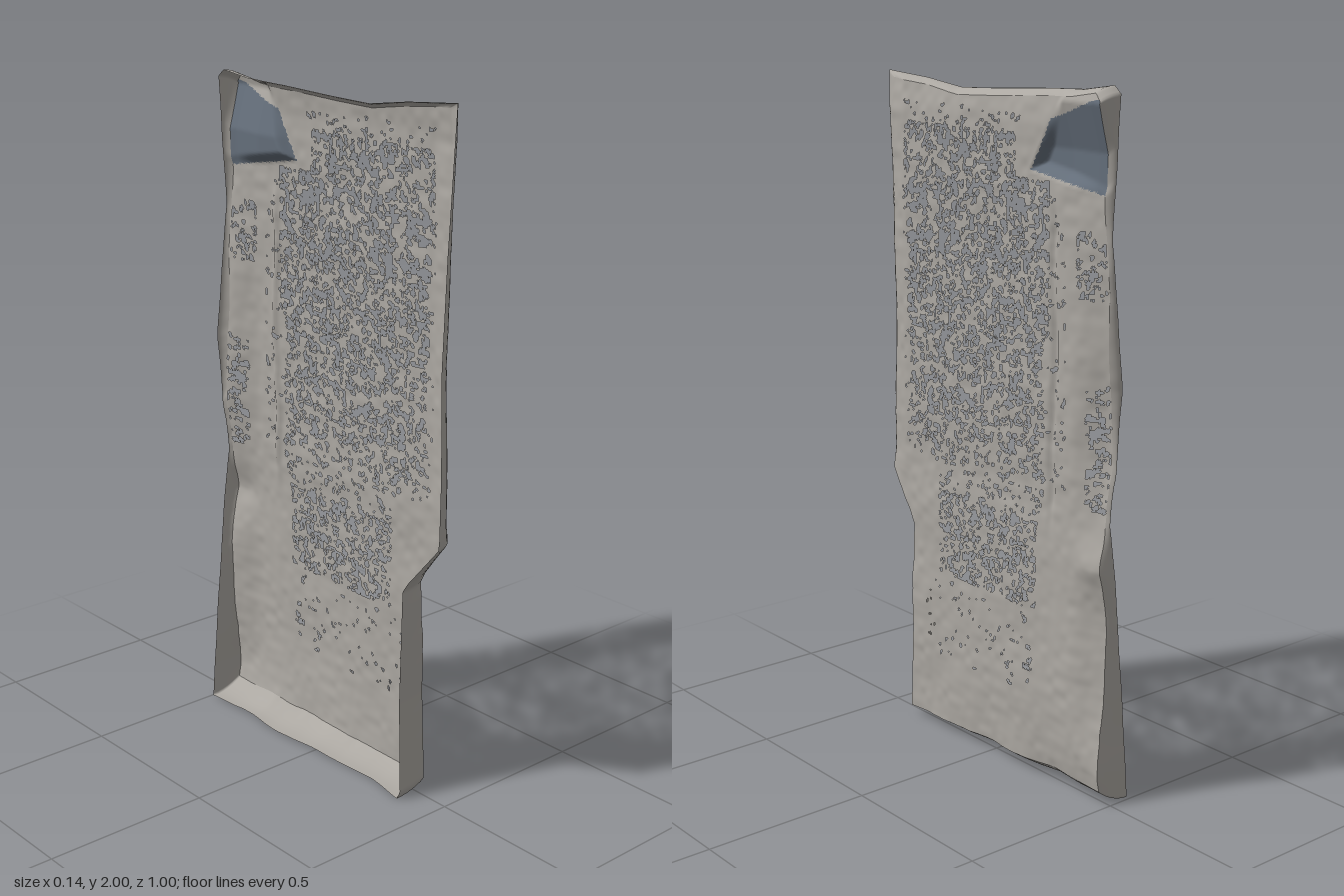
import * as THREE from 'three';

const { lerp, clamp, smoothstep } = THREE.MathUtils;

// Piecewise linear curve through [position, value] pairs
function curve(points, t) {
  if (t <= points[0][0]) return points[0][1];
  for (let i = 1; i < points.length; i++) {
    const [a, va] = points[i - 1], [b, vb] = points[i];
    if (t <= b) return lerp(va, vb, (t - a) / (b - a));
  }
  return points[points.length - 1][1];
}

// Smooth value noise, 0..1
function hash(i, j) {
  let h = Math.imul(i, 374761393) + Math.imul(j, 668265263);
  h = Math.imul(h ^ (h >>> 13), 1274126177);
  return ((h ^ (h >>> 16)) >>> 0) / 4294967296;
}
function noise(x, y) {
  const i = Math.floor(x), j = Math.floor(y);
  const a = smoothstep(x - i, 0, 1), b = smoothstep(y - j, 0, 1);
  return lerp(lerp(hash(i, j), hash(i + 1, j), a), lerp(hash(i, j + 1), hash(i + 1, j + 1), a), b);
}

// Slab outline: notched +z edge, straight -z edge, wavy top
const FRONT_EDGE = [[0, 0.375], [0.03, 0.388], [0.3, 0.37], [0.64, 0.365], [0.67, 0.385],
  [0.8, 0.497], [0.83, 0.499], [1, 0.495], [1.3, 0.478], [1.6, 0.48], [2, 0.49]];
const TOP_EDGE = [[-0.5, 1.975], [-0.47, 2], [-0.36, 1.985], [-0.2, 1.98], [0, 1.97], [0.15, 1.965], [0.3, 1.985], [0.49, 2]];
const BACK_WAVE = [[-0.5, 0], [-0.36, 0.012], [-0.16, 0], [0, 0.008], [0.25, 0.018], [0.37, 0]];
// How far the face sits inside the outline along the +z edge
const BEVEL = [[0, 0.012], [0.6, 0.015], [0.85, 0.05], [1.4, 0.045], [2, 0.045]];
// Wear along the -z edge by height: face worn back, and rim broken short
const FACE_WEAR = [[0.1, 0], [0.22, 0.015], [0.35, 0.03], [0.52, 0.032], [0.7, 0.008], [0.85, 0.022], [1, 0.04],
  [1.14, 0.045], [1.3, 0.036], [1.5, 0.018], [1.7, 0.006], [2, 0]];
const RIM_WEAR = [[0, 0], [0.33, 0.015], [0.67, 0.04], [0.83, 0.055], [1, 0.03], [1.2, 0.005], [1.4, 0.018],
  [1.6, 0.036], [1.8, 0.015], [2, 0]];

// Point (z, y) at grid position u, v; inset 0 = outline, 1 = edge of the face
function place(u, v, inset) {
  const zGuess = lerp(-0.495, 0.48, u);
  const bottom = 0.004 + 0.008 * noise(u * 9, 3) + inset * (0.022 + 0.025 * noise(u * 6, 8));
  const y = lerp(bottom, curve(TOP_EDGE, zGuess) - inset * 0.018, v);
  const z0 = -0.497 + 0.006 * noise(y * 9, 1) + inset * (0.008 + 0.01 * noise(y * 4, 5));
  const z1 = curve(FRONT_EDGE, y) - inset * curve(BEVEL, y);
  return [lerp(z0, z1, u), y];
}

// Broken upper corner: distance inside its slanting edge, and above its lower ledge
function cornerDepth(z, y) {
  const side = (-0.2 - (y - 1.78) * 0.55) - z;
  const ledge = y - (1.765 + (z + 0.2) * 0.16);
  return Math.min(side, ledge);
}

// Height of the carved face
function faceX(z, y) {
  let x = 0.036 + 0.009 * noise(z * 7 + 20, y * 7) + 0.003 * noise(z * 35, y * 35 + 9);
  x -= 0.012 * smoothstep(y, 1.88, 2);
  // softened bottom and +z margins
  x -= (0.006 + 0.022 * noise(z * 8, 4)) * (1 - clamp(y / 0.2, 0, 1)) ** 2;
  x -= 0.012 * smoothstep(z - curve(FRONT_EDGE, y), -0.12, -0.045) * smoothstep(y, 0.7, 0.9);
  x += 0.012 * Math.exp(-((z + 0.46) ** 2 + (y - 0.71) ** 2) / 0.003);
  // worn -z edge and the groove beside it
  x -= curve(FACE_WEAR, y) * (1 - smoothstep(z, -0.5, -0.36));
  const groove = -0.3 + 0.03 * noise(y * 8, 2);
  x -= 0.01 * Math.exp(-(((z - groove) / 0.012) ** 2)) * smoothstep(y, 0.75, 0.9) * (1 - smoothstep(y, 1.6, 1.7));
  // broken corner swells outward towards the top
  const broken = Math.max(0.066 - Math.abs(1.955 - y) * 0.3, 0.028) - 0.15 * clamp(z + 0.45, 0, 0.12);
  return lerp(x, broken, smoothstep(cornerDepth(z, y), -0.006, 0.03));
}

// Worn patches: [zMin, zMax, yMin, yMax, share of surface lost]
const PATCHES = [
  [-0.13, 0.37, 1.72, 1.86, 0.4], [-0.27, 0.36, 1.3, 1.74, 0.43], [-0.25, 0.35, 0.96, 1.32, 0.37],
  [-0.25, 0.34, 0.86, 0.97, 0.25], [-0.24, 0.22, 0.76, 0.87, 0.2], [-0.22, 0.22, 0.52, 0.78, 0.41],
  [-0.48, -0.41, 0.86, 1.21, 0.42], [-0.48, -0.38, 1.44, 1.62, 0.32], [-0.21, -0.17, 0.33, 0.38, 0.45],
  [-0.15, 0.38, 1.85, 1.92, 0.1], [-0.34, 0.38, 0.9, 1.7, 0.1], [-0.2, 0.28, 0.25, 0.5, 0.01],
];
function isLost(z, y) {
  let share = 0;
  for (const [z0, z1, y0, y1, s] of PATCHES) {
    if (z > z0 && z < z1 && y > y0 && y < y1) share = Math.max(share, s);
  }
  if (!share) return false;
  share *= 0.92 + 0.1 * Math.sin(y * 42);
  const n = 0.55 * noise(z * 68 + 40, y * 78) + 0.45 * noise(z * 130, y * 140 + 7);
  return n < 0.2 + share * 0.66;
}

function buildMesh(name, positions, indices, color) {
  // Keep only the vertices this part uses
  const map = new Map(), kept = [];
  const index = indices.map((i) => {
    if (!map.has(i)) {
      map.set(i, map.size);
      kept.push(positions[3 * i], positions[3 * i + 1], positions[3 * i + 2]);
    }
    return map.get(i);
  });
  const geometry = new THREE.BufferGeometry();
  geometry.setAttribute('position', new THREE.Float32BufferAttribute(kept, 3));
  geometry.setIndex(index);
  geometry.computeVertexNormals();
  const mesh = new THREE.Mesh(geometry, new THREE.MeshStandardMaterial({ color, side: THREE.DoubleSide }));
  mesh.name = name;
  return mesh;
}

export function createModel() {
  const group = new THREE.Group();
  group.name = 'stoneSlab';
  const NU = 150, NV = 300, STONE = 0xaca8a2;

  // Face grid, split into the worn face and the broken corner
  const points = [], face = [], corner = [];
  for (let j = 0; j <= NV; j++) {
    for (let i = 0; i <= NU; i++) {
      const [z, y] = place(i / NU, j / NV, 1);
      points.push(faceX(z, y), y, z);
    }
  }
  const addTriangle = (...t) => {
    const z = t.reduce((s, i) => s + points[3 * i + 2], 0) / 3;
    const y = t.reduce((s, i) => s + points[3 * i + 1], 0) / 3;
    const darkTop = 1.9 + (-z - 0.25) * 0.3;
    if (cornerDepth(z, y) > 0 && y < darkTop) corner.push(...t);
    else if (!isLost(z, y)) face.push(...t);
  };
  for (let j = 0; j < NV; j++) {
    for (let i = 0; i < NU; i++) {
      const a = j * (NU + 1) + i, b = a + 1, c = a + NU + 1, d = c + 1;
      addTriangle(a, c, b);
      addTriangle(b, c, d);
    }
  }
  group.add(buildMesh('wornFace', points, face, STONE));
  group.add(buildMesh('brokenCorner', points, corner, 0x646e7a));

  // Rim: slopes over from the face edge to the open back
  const loop = [];
  for (let i = 0; i < NU; i++) loop.push([i / NU, 0]);
  for (let j = 0; j < NV; j++) loop.push([1, j / NV]);
  for (let i = NU; i > 0; i--) loop.push([i / NU, 1]);
  for (let j = NV; j > 0; j--) loop.push([0, j / NV]);
  const rim = [], rimIndex = [], STEPS = 6, N = loop.length;
  for (let k = 0; k <= STEPS; k++) {
    const t = k / STEPS;
    for (const [u, v] of loop) {
      const [zf, yf] = place(u, v, 1);
      const [z, y] = place(u, v, 1 - Math.sin(t * Math.PI / 2));
      const low = 1 - smoothstep(y, 0, 0.3);
      const wear = curve(RIM_WEAR, y) * (1 - smoothstep(z, -0.49, -0.4));
      const x = faceX(zf, yf);
      const back = Math.min(x - 0.005, -0.072 + 0.036 * y + low * curve(BACK_WAVE, z) + wear);
      rim.push(lerp(x, back, t ** 1.15), y, z);
    }
  }
  for (let k = 0; k < STEPS; k++) {
    for (let i = 0; i < N; i++) {
      const a = k * N + i, b = k * N + (i + 1) % N;
      rimIndex.push(a, b, a + N, b, b + N, a + N);
    }
  }
  group.add(buildMesh('rim', rim, rimIndex, STONE));
  return group;
}
